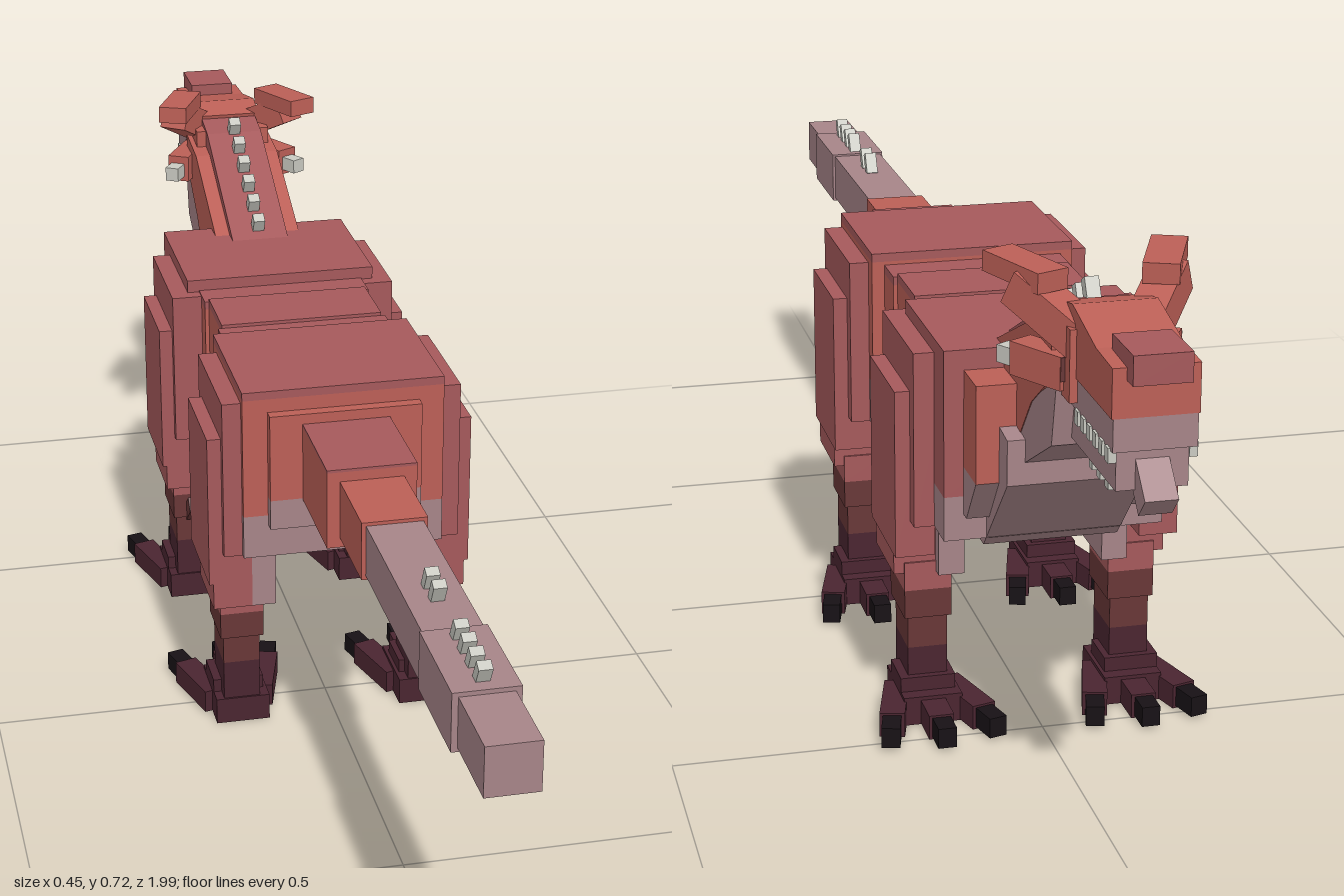
import * as THREE from 'three';

export function createModel() {
  const model = new THREE.Group();
  const mat = (name, color) => {
    const m = new THREE.MeshStandardMaterial({ color });
    m.name = name;
    return m;
  };
  const red = mat('brightRed', 0xbb5f56), dusky = mat('duskyRed', 0xa5595b);
  const mauve = mat('mauve', 0xa68488), brown = mat('darkBrown', 0x683737);
  const purple = mat('darkPurple', 0x4a2530), black = mat('clawBlack', 0x171115);
  const bone = mat('bone', 0xc9c9c1);

  const add = (name, geo, material, parent = model) => {
    const mesh = new THREE.Mesh(geo, material);
    mesh.name = name;
    parent.add(mesh);
    return mesh;
  };
  // Box given by its limits on each axis
  const box = (name, m, x0, x1, y0, y1, z0, z1, parent) => {
    const mesh = add(name, new THREE.BoxGeometry(x1 - x0, y1 - y0, z1 - z0), m, parent);
    mesh.position.set((x0 + x1) / 2, (y0 + y1) / 2, (z0 + z1) / 2);
    return mesh;
  };
  // Side outline of [z, y] points, extruded across x
  const prism = (name, m, hw, points) => {
    const shape = new THREE.Shape(points.map(p => new THREE.Vector2(p[0], p[1])));
    const geo = new THREE.ExtrudeGeometry(shape, { depth: 2 * hw, bevelEnabled: false });
    geo.translate(0, 0, -hw).rotateY(-Math.PI / 2);
    return add(name, geo, m);
  };
  // Square bar between two points
  const beam = (name, m, a, b, w, h, parent) => {
    const p = new THREE.Vector3(...a), q = new THREE.Vector3(...b);
    const mesh = add(name, new THREE.BoxGeometry(w, h, p.distanceTo(q)), m, parent);
    mesh.position.copy(p).add(q).multiplyScalar(0.5);
    mesh.quaternion.setFromRotationMatrix(new THREE.Matrix4().lookAt(q, p, new THREE.Vector3(0, 1, 0)));
    return mesh;
  };

  // Body blocks: coloured sides, dusky back, mauve belly
  const trunk = (name, m, hw, y0, y1, z0, z1, split) => {
    box(name + 'Belly', mauve, -hw, hw, y0, split, z0, z1);
    box(name, m, -hw, hw, split, y1 - 0.012, z0, z1);
    box(name + 'Back', dusky, -hw, hw, y1 - 0.012, y1, z0, z1);
  };
  trunk('hips', red, 0.146, 0.30, 0.557, -0.1, 0.125, 0.365);
  trunk('waistRear', red, 0.128, 0.315, 0.54, -0.16, -0.1, 0.36);
  trunk('waist', red, 0.122, 0.32, 0.545, -0.27, -0.16, 0.36);
  trunk('waistFront', red, 0.128, 0.315, 0.54, -0.32, -0.27, 0.36);
  trunk('chest', dusky, 0.146, 0.30, 0.557, -0.545, -0.32, 0.36);
  box('rump', red, -0.11, 0.11, 0.395, 0.525, 0.125, 0.142);
  box('rumpUnderside', mauve, -0.11, 0.11, 0.35, 0.395, 0.125, 0.142);
  // Mauve patch rising at the centre of the rear
  const patch = new THREE.Shape([[-0.1, 0.365], [0.1, 0.365], [0.07, 0.395], [-0.07, 0.395]]
    .map(p => new THREE.Vector2(...p)));
  add('rumpPatch', new THREE.ShapeGeometry(patch), mauve).position.z = 0.126;

  // Breast
  box('breast', red, -0.12, 0.12, 0.40, 0.53, -0.61, -0.545);
  prism('breastUnderside', mauve, 0.09,
    [[-0.46, 0.285], [-0.53, 0.285], [-0.65, 0.41], [-0.65, 0.47], [-0.56, 0.48], [-0.46, 0.40]]);
  prism('breastFront', mauve, 0.12, [[-0.545, 0.335], [-0.56, 0.335], [-0.61, 0.40], [-0.545, 0.40]]);

  // Neck: red above, mauve throat below
  prism('neck', red, 0.068,
    [[-0.47, 0.54], [-0.60, 0.44], [-0.68, 0.53], [-0.77, 0.59], [-0.77, 0.645], [-0.68, 0.635]]);
  prism('throat', mauve, 0.067, [[-0.60, 0.445], [-0.65, 0.44], [-0.77, 0.505], [-0.79, 0.595], [-0.69, 0.54]]);
  prism('neckRidge', dusky, 0.045, [[-0.47, 0.552], [-0.53, 0.53], [-0.75, 0.63], [-0.75, 0.675], [-0.70, 0.665]]);

  // Small paired bony spines along neck and tail
  for (let i = 0; i < 6; i++) {
    const z = -0.5 - i * 0.04, y = 0.575 + i * 0.0195;
    beam('neckSpine', bone, [0, y - 0.012, z - 0.007], [0, y + 0.014, z + 0.008], 0.018, 0.017);
  }
  for (const z of [0.62, 0.655, 0.76, 0.795, 0.83, 0.865]) {
    for (const s of [1, -1]) {
      beam('tailSpine', bone, [0, 0.45 + s * 0.035, z - 0.01], [0, 0.45 + s * 0.065, z + 0.006], 0.018, 0.014);
    }
  }

  // Tail
  box('tailBase', red, -0.063, 0.063, 0.393, 0.506, 0.13, 0.3);
  box('tailBaseTop', dusky, -0.063, 0.063, 0.506, 0.51, 0.13, 0.3);
  box('tailRed', red, -0.045, 0.045, 0.408, 0.492, 0.3, 0.43);
  box('tailMiddle', mauve, -0.039, 0.039, 0.414, 0.487, 0.43, 0.73);
  box('tailRear', mauve, -0.043, 0.043, 0.41, 0.49, 0.73, 0.885);
  box('tailTip', mauve, -0.035, 0.035, 0.416, 0.484, 0.885, 1);

  // Head
  box('skull', red, -0.06, 0.06, 0.575, 0.665, -0.82, -0.715);
  prism('snout', red, 0.052, [[-0.77, 0.605], [-0.965, 0.605], [-0.965, 0.665], [-0.90, 0.668], [-0.80, 0.69], [-0.75, 0.68]]);
  box('nose', dusky, -0.035, 0.035, 0.65, 0.686, -0.988, -0.905);
  box('upperLip', mauve, -0.05, 0.05, 0.565, 0.605, -0.965, -0.77);
  box('jaw', mauve, -0.043, 0.043, 0.515, 0.565, -0.955, -0.755);
  beam('chin', mauve, [0, 0.542, -0.94], [0, 0.502, -0.982], 0.04, 0.035);
  for (const s of [1, -1]) {
    for (let i = 0; i < 6; i++) {
      const z = -0.95 + i * 0.025;
      box('tooth', bone, s * 0.048 - 0.005, s * 0.048 + 0.005, 0.55, 0.568, z - 0.007, z + 0.007);
    }
    for (let i = 0; i < 3; i++) {
      const z = -0.90 + i * 0.033;
      box('jawSpine', bone, s * 0.03 - 0.007, s * 0.03 + 0.007, 0.498, 0.518, z - 0.007, z + 0.007);
    }
    // Swept horns and tipped cheek spikes
    beam('hornBase', red, [s * 0.035, 0.645, -0.80], [s * 0.095, 0.695, -0.72], 0.045, 0.045);
    beam('hornTip', red, [s * 0.066, 0.708, -0.765], [s * 0.108, 0.712, -0.665], 0.045, 0.026);
    beam('cheekSpike', red, [s * 0.05, 0.604, -0.79], [s * 0.092, 0.604, -0.715], 0.035, 0.042);
    box('eyePatch', brown, s * 0.062 - 0.003, s * 0.062 + 0.003, 0.595, 0.625, -0.80, -0.72);
    beam('cheekSpikeTip', bone, [s * 0.09, 0.602, -0.72], [s * 0.107, 0.602, -0.692], 0.022, 0.022);
  }

  // Legs, built once per corner around x = 0.14
  for (const s of [1, -1]) {
    for (const [name, dz] of [['rearLeg', 0], ['frontLeg', -0.415]]) {
      const leg = new THREE.Group();
      leg.name = name;
      leg.position.z = dz;
      model.add(leg);
      const part = (n, m, x0, x1, ...r) => box(n, m, s > 0 ? x0 : -x1, s > 0 ? x1 : -x0, ...r, leg);
      part('haunch', dusky, 0.12, 0.173, 0.30, 0.538, -0.075, 0.115);
      part('thigh', dusky, 0.14, 0.193, 0.25, 0.48, -0.052, 0.102);
      part('thighLower', dusky, 0.13, 0.187, 0.21, 0.305, -0.012, 0.102);
      part('thighInner', mauve, 0.095, 0.13, 0.21, 0.305, -0.03, 0.102);
      part('knee', dusky, 0.109, 0.173, 0.185, 0.225, -0.015, 0.075);
      part('kneeLower', brown, 0.109, 0.173, 0.145, 0.185, -0.015, 0.075);
      part('shin', brown, 0.114, 0.168, 0.1, 0.145, -0.01, 0.067);
      part('ankle', purple, 0.114, 0.168, 0.03, 0.1, -0.01, 0.067);
      part('foot', purple, 0.1, 0.18, 0, 0.04, -0.04, 0.07);
      part('instep', purple, 0.105, 0.18, 0.04, 0.06, -0.02, 0.045);
      // Three splayed toes with claws
      for (const t of [-1, 0, 1]) {
        const from = [s * (0.14 + t * 0.035), 0.018, 0.03];
        const mid = [s * (0.14 + t * 0.063), 0.018, t ? -0.07 : -0.09];
        const end = [s * (0.14 + t * 0.073), 0.018, t ? -0.108 : -0.125];
        beam('toe', purple, from, mid, 0.034, 0.034, leg);
        beam('claw', black, mid, end, 0.025, 0.028, leg);
      }
      // Dewclaw behind the front ankle
      if (dz) beam('dewclaw', brown, [s * 0.14, 0.148, 0.065], [s * 0.14, 0.178, 0.1], 0.025, 0.024, leg);
    }
  }
  return model;
}
